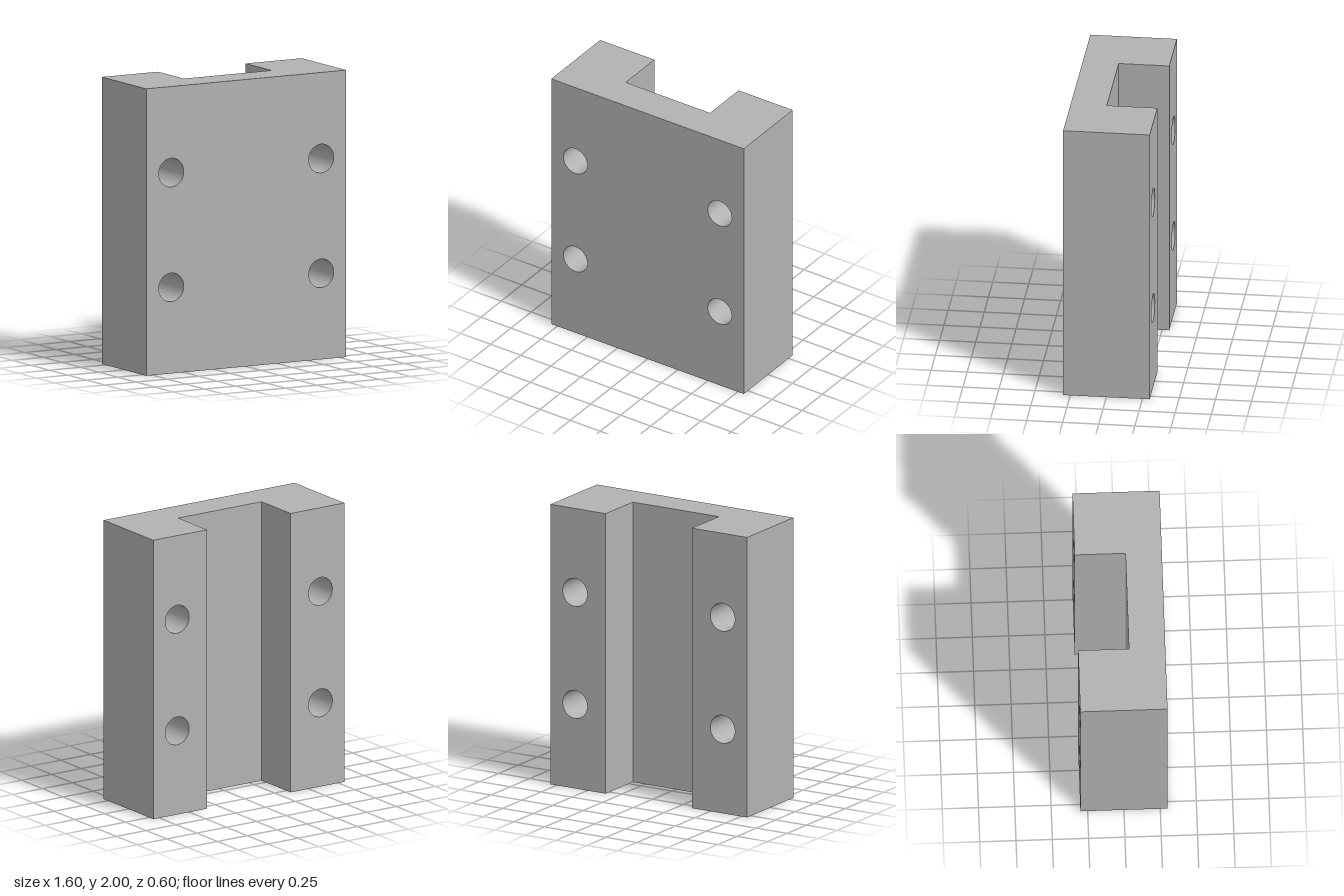
import * as THREE from 'three';
import { toCreasedNormals } from 'three/addons/utils/BufferGeometryUtils.js';

const HEIGHT = 2, DEPTH = 0.6, OUTER = 0.8, INNER = 0.35, WEB = 0.25;

export function createModel() {
  const group = new THREE.Group();
  group.name = 'channelBracket';
  const grey = new THREE.MeshStandardMaterial({ color: 0xb2b2b2 });
  grey.name = 'grey';

  // Thick side rail, drilled through from front to back
  function addRail(side, name) {
    const a = Math.min(side * INNER, side * OUTER);
    const b = Math.max(side * INNER, side * OUTER);
    const shape = new THREE.Shape([
      new THREE.Vector2(a, 0), new THREE.Vector2(b, 0),
      new THREE.Vector2(b, HEIGHT), new THREE.Vector2(a, HEIGHT),
    ]);
    for (const y of [0.6, 1.4]) {
      shape.holes.push(new THREE.Path().absarc(side * 0.6, y, 0.1, 0, Math.PI * 2, true));
    }
    const geometry = new THREE.ExtrudeGeometry(shape, {
      depth: DEPTH, bevelEnabled: false, curveSegments: 48,
    });
    geometry.translate(0, 0, -DEPTH / 2);
    const rail = new THREE.Mesh(toCreasedNormals(geometry, Math.PI / 6), grey);
    rail.name = name;
    group.add(rail);
  }
  addRail(1, 'leftRail');
  addRail(-1, 'rightRail');

  // Thin web joining the rails; its two buried end faces are dropped
  const webGeometry = new THREE.BoxGeometry(INNER * 2, HEIGHT, WEB);
  webGeometry.setIndex(Array.from(webGeometry.index.array).slice(12));
  webGeometry.clearGroups();
  const web = new THREE.Mesh(webGeometry, grey);
  web.name = 'web';
  web.position.set(0, HEIGHT / 2, DEPTH / 2 - WEB / 2);
  group.add(web);

  return group;
}
